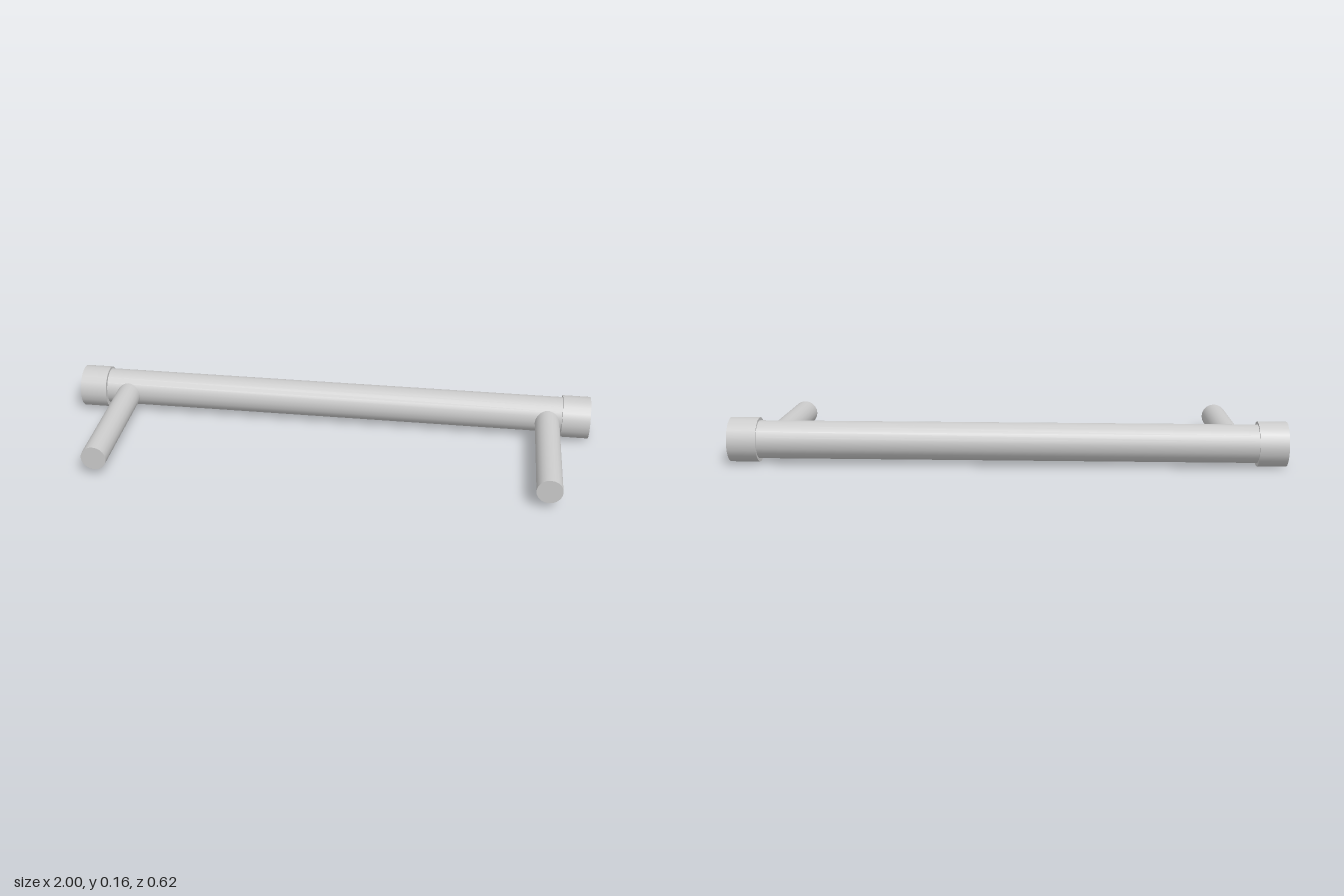
import * as THREE from 'three';

export function createModel() {
  const group = new THREE.Group();
  const material = new THREE.MeshStandardMaterial({ color: 0xcccccc });
  const SIDES = 20;

  // Solid rod of the given radius running between two points
  function rod(name, radius, from, to) {
    const a = new THREE.Vector3(...from);
    const b = new THREE.Vector3(...to);
    const dir = b.clone().sub(a);
    const mesh = new THREE.Mesh(new THREE.CylinderGeometry(radius, radius, dir.length(), SIDES), material);
    mesh.name = name;
    mesh.position.copy(a).add(b).multiplyScalar(0.5);
    mesh.quaternion.setFromUnitVectors(new THREE.Vector3(0, 1, 0), dir.normalize());
    group.add(mesh);
  }

  const barY = 0.084, capY = 0.082, barZ = -0.234, capZ = -0.228;

  // Long grip bar
  rod('gripBar', 0.069, [-0.95, barY, barZ], [0.95, barY, barZ]);

  // Thicker caps on both ends of the bar
  rod('rightEndCap', 0.081, [-1, capY, capZ], [-0.897, capY, capZ]);
  rod('leftEndCap', 0.081, [0.895, capY, capZ], [1, capY, capZ]);

  // Mounting posts, sloping slightly down towards the front
  for (const [name, x] of [['rightPost', -0.81], ['leftPost', 0.84]]) {
    rod(name, 0.047, [x, 0.08, -0.2], [x, 0.071, 0.308]);
  }

  return group;
}
